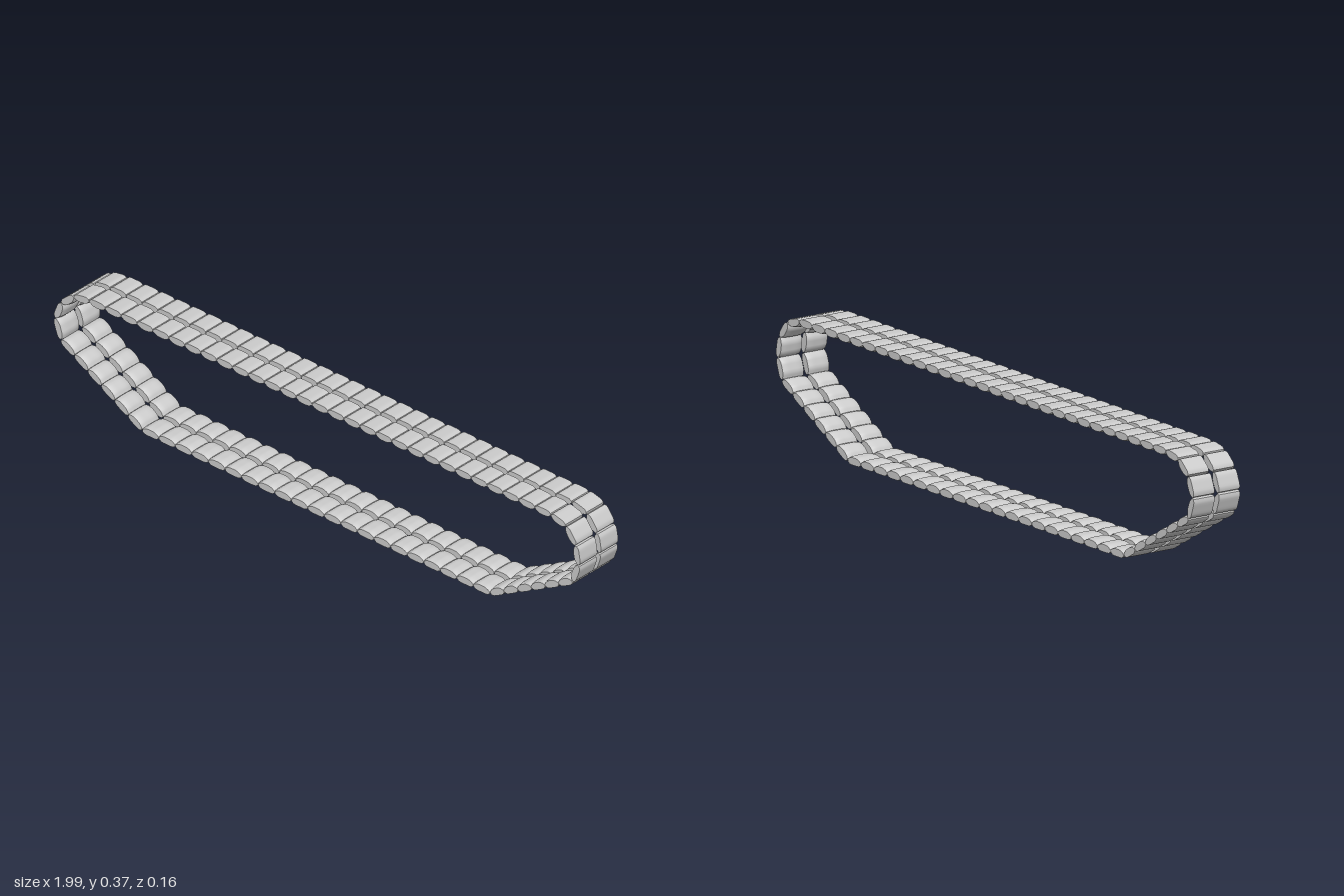
import * as THREE from 'three';
import { toCreasedNormals } from 'three/addons/utils/BufferGeometryUtils.js';

const LENGTH = 0.06, THICK = 0.026, WIDTH = 0.073, PAD_Z = 0.0445;

// Corner points of the loop, counterclockwise, with the number of links to the next corner
const LOOP = [
  [-0.66, 0.014, 21], [0.655, 0.014, 6],
  [0.965, 0.18, 1], [0.986, 0.24, 1], [0.976, 0.3, 1], [0.94, 0.348, 1],
  [0.885, 0.362, 29],
  [-0.86, 0.354, 1], [-0.918, 0.344, 1], [-0.963, 0.305, 1], [-0.986, 0.248, 1],
  [-0.965, 0.186, 6],
];

// Track pad: flat rounded outer face (-y), domed inner face (+y)
function padGeometry() {
  const geometry = new THREE.BoxGeometry(LENGTH, THICK, WIDTH, 8, 2, 8);
  const p = geometry.attributes.position;
  for (let i = 0; i < p.count; i++) {
    const u = p.getX(i) / (LENGTH / 2), v = p.getZ(i) / (WIDTH / 2);
    const y = p.getY(i);
    if (y > 0.001) {
      p.setY(i, y - 0.010 * Math.pow(Math.abs(u), 3) - 0.004 * Math.pow(Math.abs(v), 4));
    } else if (y < -0.001) {
      p.setY(i, y + 0.006 * Math.pow(Math.abs(u), 6));
      p.setX(i, p.getX(i) * 0.97);
    }
  }
  return toCreasedNormals(geometry, 0.6);
}

export function createModel() {
  const model = new THREE.Group();
  model.name = 'trackLoop';
  const material = new THREE.MeshStandardMaterial({ color: 0xcccccc });
  const geometry = padGeometry();

  // Links laid end to end along each straight run
  LOOP.forEach(([x0, y0, count], run) => {
    const [x1, y1] = LOOP[(run + 1) % LOOP.length];
    const pitch = Math.hypot(x1 - x0, y1 - y0) / count;
    for (let k = 0; k < count; k++) {
      const t = (k + 0.5) / count;
      const link = new THREE.Group();
      link.name = 'trackLink';
      link.position.set(x0 + (x1 - x0) * t, y0 + (y1 - y0) * t, 0);
      link.rotation.z = Math.atan2(y1 - y0, x1 - x0);
      // Paired pads with a narrow gap between them
      for (const side of [-1, 1]) {
        const pad = new THREE.Mesh(geometry, material);
        pad.name = side > 0 ? 'frontPad' : 'backPad';
        pad.position.z = side * PAD_Z;
        pad.scale.x = (pitch - 0.001) / LENGTH;
        link.add(pad);
      }
      model.add(link);
    }
  });

  // Stand on the ground, centred
  const box = new THREE.Box3().setFromObject(model, true);
  const center = box.getCenter(new THREE.Vector3());
  model.children.forEach((link) => {
    link.position.x -= center.x;
    link.position.y -= box.min.y;
  });
  return model;
}
